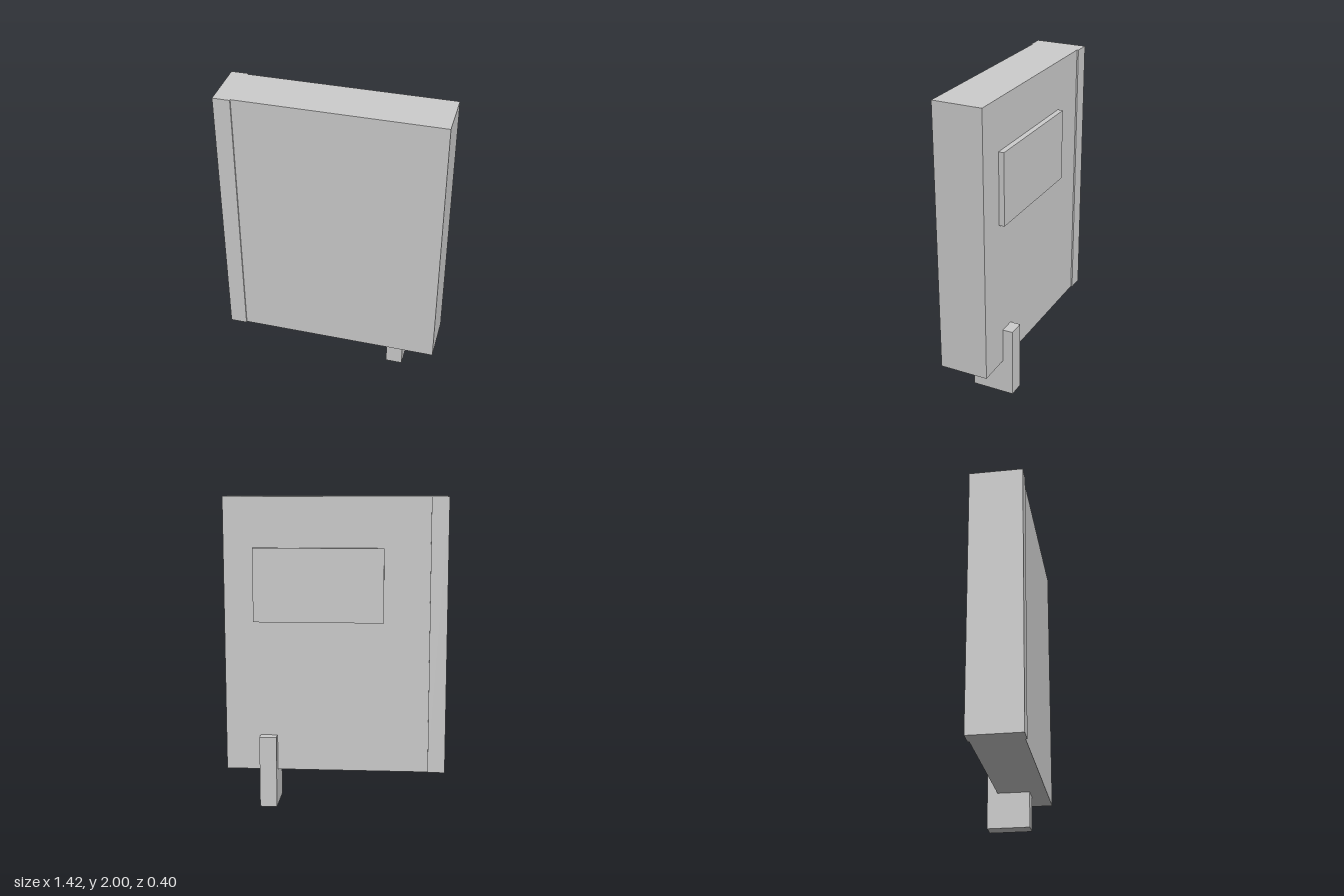
import * as THREE from 'three';

export function createModel() {
  const group = new THREE.Group();
  const grey = new THREE.MeshStandardMaterial({ color: 0xcccccc });
  grey.name = 'light grey';

  const add = (name, geometry) => {
    const mesh = new THREE.Mesh(geometry, grey);
    mesh.name = name;
    group.add(mesh);
  };
  // Box given by its lower and upper corners
  const block = (name, [x0, y0, z0], [x1, y1, z1]) =>
    add(name, new THREE.BoxGeometry(x1 - x0, y1 - y0, z1 - z0)
      .translate((x0 + x1) / 2, (y0 + y1) / 2, (z0 + z1) / 2));

  // Main slab and the slightly thicker strip along its edge
  block('panel', [-0.6, 0.235, -0.132], [0.71, 2, 0.19]);
  block('edgeStrip', [-0.71, 0.235, -0.142], [-0.6, 2, 0.2]);

  // Raised plate on the back
  block('backPlate', [-0.31, 1.21, -0.167], [0.52, 1.68, -0.132]);

  // L-shaped foot under and behind the panel, profile in (z, y)
  const profile = new THREE.Shape([
    [-0.2, 0], [0.08, 0], [0.08, 0.235], [-0.132, 0.235], [-0.132, 0.465], [-0.2, 0.465],
  ].map(([z, y]) => new THREE.Vector2(-z, y)));
  add('foot', new THREE.ExtrudeGeometry(profile, { depth: 0.11, bevelEnabled: false })
    .rotateY(Math.PI / 2).translate(0.375, 0, 0));

  return group;
}
